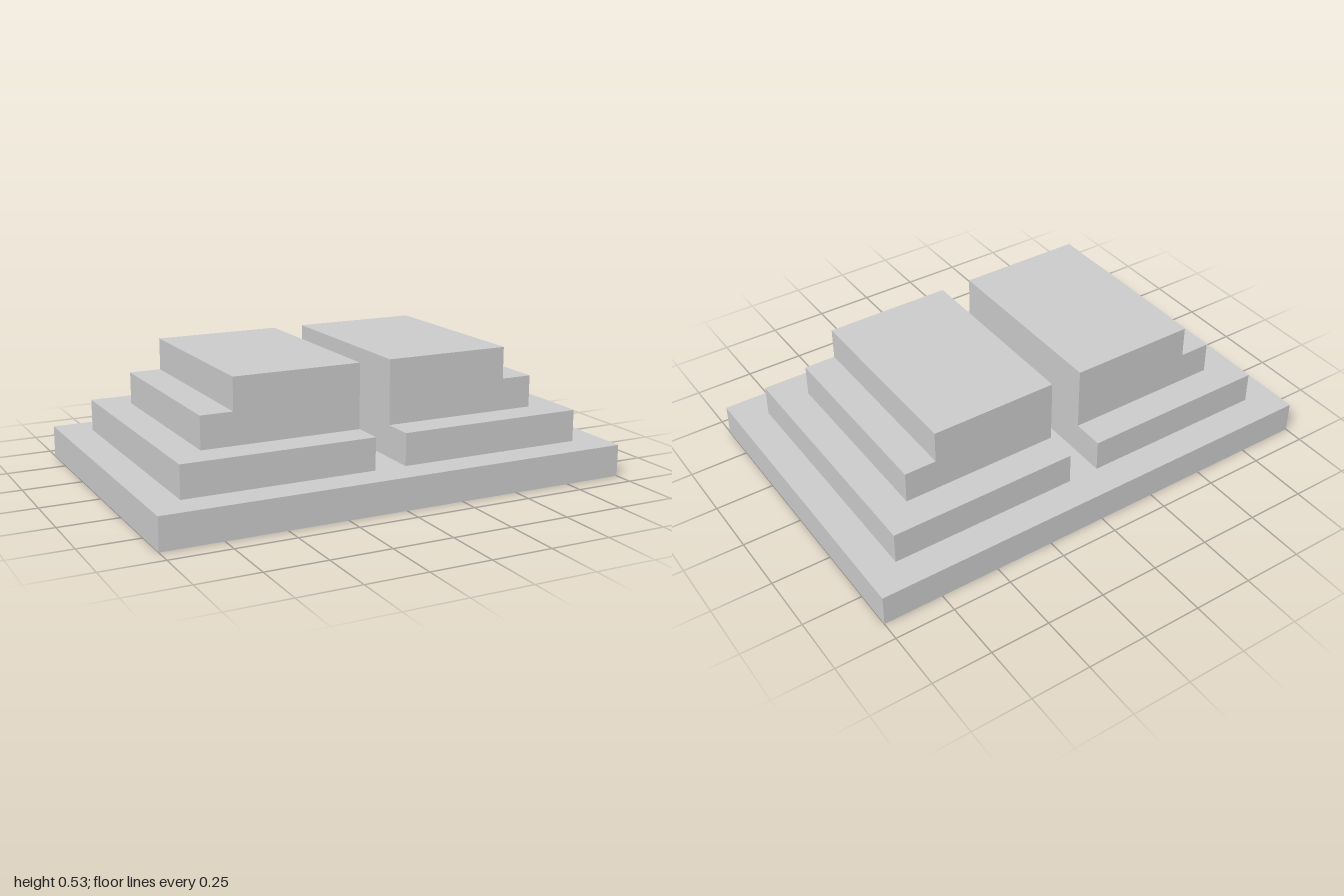
import * as THREE from 'three';

const U = 2 / 15; // height of one step
const material = new THREE.MeshStandardMaterial({ color: 0xcccccc, flatShading: true });

// Block spanning x0..x1, resting on y0, one step high, centred on z
function block(name, x0, x1, y0, depth) {
  const mesh = new THREE.Mesh(new THREE.BoxGeometry(x1 - x0, U, depth), material);
  mesh.name = name;
  mesh.position.set((x0 + x1) / 2, y0 + U / 2, 0);
  return mesh;
}

// Upper block: two-step profile with its outer edge notched, extruded along z
function upperBlock(name, side) {
  const profile = [[0.5, 2], [5.5, 2], [5.5, 3], [4.5, 3], [4.5, 4], [0.5, 4]];
  const shape = new THREE.Shape(profile.map(([x, y]) => new THREE.Vector2(side * x * U, y * U)));
  const geometry = new THREE.ExtrudeGeometry(shape, { depth: 6 * U, bevelEnabled: false });
  geometry.translate(0, 0, -3 * U);
  const mesh = new THREE.Mesh(geometry, material);
  mesh.name = name;
  return mesh;
}

export function createModel() {
  const model = new THREE.Group();
  model.name = 'steppedPlatform';

  // Shared base slab
  model.add(block('base', -7.5 * U, 7.5 * U, 0, 10 * U));

  // Mirrored stepped halves either side of the central channel
  for (const [label, side] of [['left', 1], ['right', -1]]) {
    const half = new THREE.Group();
    half.name = label + 'Half';
    const [x0, x1] = [0.5 * U * side, 6.5 * U * side].sort((a, b) => a - b);
    half.add(block(label + 'LowerStep', x0, x1, U, 8 * U));
    half.add(upperBlock(label + 'UpperSteps', side));
    model.add(half);
  }
  return model;
}
